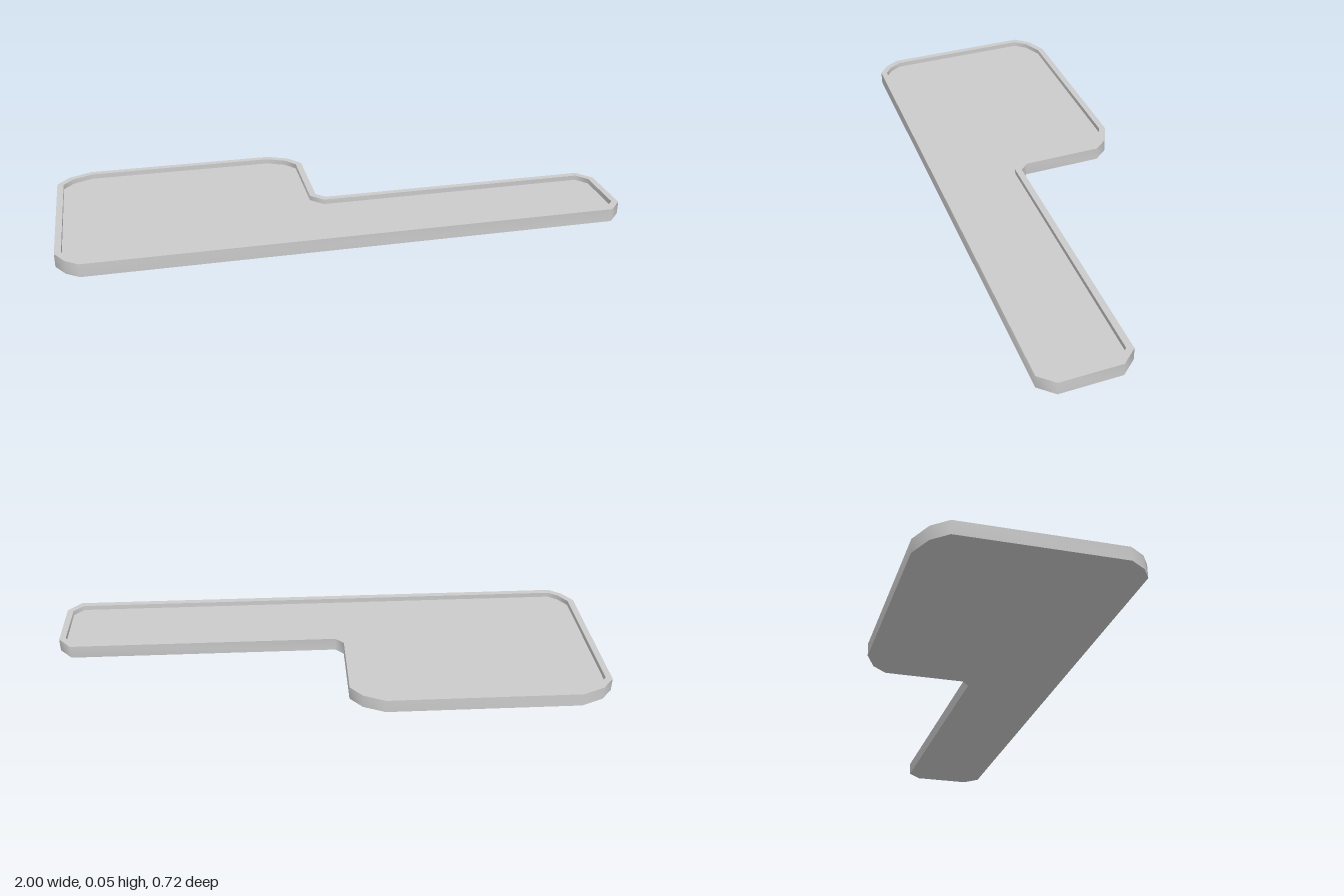
import * as THREE from 'three';
import { toCreasedNormals } from 'three/addons/utils/BufferGeometryUtils.js';

const HEIGHT = 0.048, FLOOR = 0.03, RIM = 0.023;

// Plan outline as [x, z], clockwise seen from above
const OUTLINE = [
  [-1, 0.275], [-1, -0.275], [-0.955, -0.327], [-0.875, -0.362],  // wide end, back outer corner
  [-0.185, -0.362], [-0.108, -0.327], [-0.065, -0.275],           // wide end, back inner corner
  [-0.065, 0.013], [-0.035, 0.043],                               // notch
  [0.952, 0.043], [1, 0.097], [1, 0.311], [0.952, 0.362],         // narrow end
  [-0.92, 0.362], [-0.965, 0.33],                                 // wide end, front corner
].map(([x, z]) => new THREE.Vector2(x, -z));

// Mitred inward offset of a clockwise outline
function inset(points, distance) {
  const count = points.length;
  const normal = (a, b) => {
    const d = b.clone().sub(a).normalize();
    return new THREE.Vector2(d.y, -d.x);
  };
  return points.map((p, i) => {
    const n1 = normal(points[(i + count - 1) % count], p);
    const n2 = normal(p, points[(i + 1) % count]);
    const scale = distance / (1 + n1.dot(n2));
    return p.clone().addScaledVector(n1.add(n2), scale);
  });
}

// Upright slab from a plan shape, with softly shaded corners
function slab(name, shape, depth, material) {
  const geometry = new THREE.ExtrudeGeometry(shape, { depth, bevelEnabled: false });
  geometry.rotateX(-Math.PI / 2);
  const mesh = new THREE.Mesh(toCreasedNormals(geometry, 0.9), material);
  mesh.name = name;
  return mesh;
}

export function createModel() {
  const group = new THREE.Group();
  group.name = 'tray';
  const material = new THREE.MeshStandardMaterial({ color: 0xcccccc });
  const inner = inset(OUTLINE, RIM);

  // Raised rim around the edge; the hole runs opposite to the outline so its walls face inward
  const rimShape = new THREE.Shape(OUTLINE);
  rimShape.holes.push(new THREE.Path([...inner].reverse()));
  group.add(slab('rim', rimShape, HEIGHT, material));

  // Recessed floor inside the rim
  group.add(slab('floor', new THREE.Shape(inner), FLOOR, material));

  return group;
}
